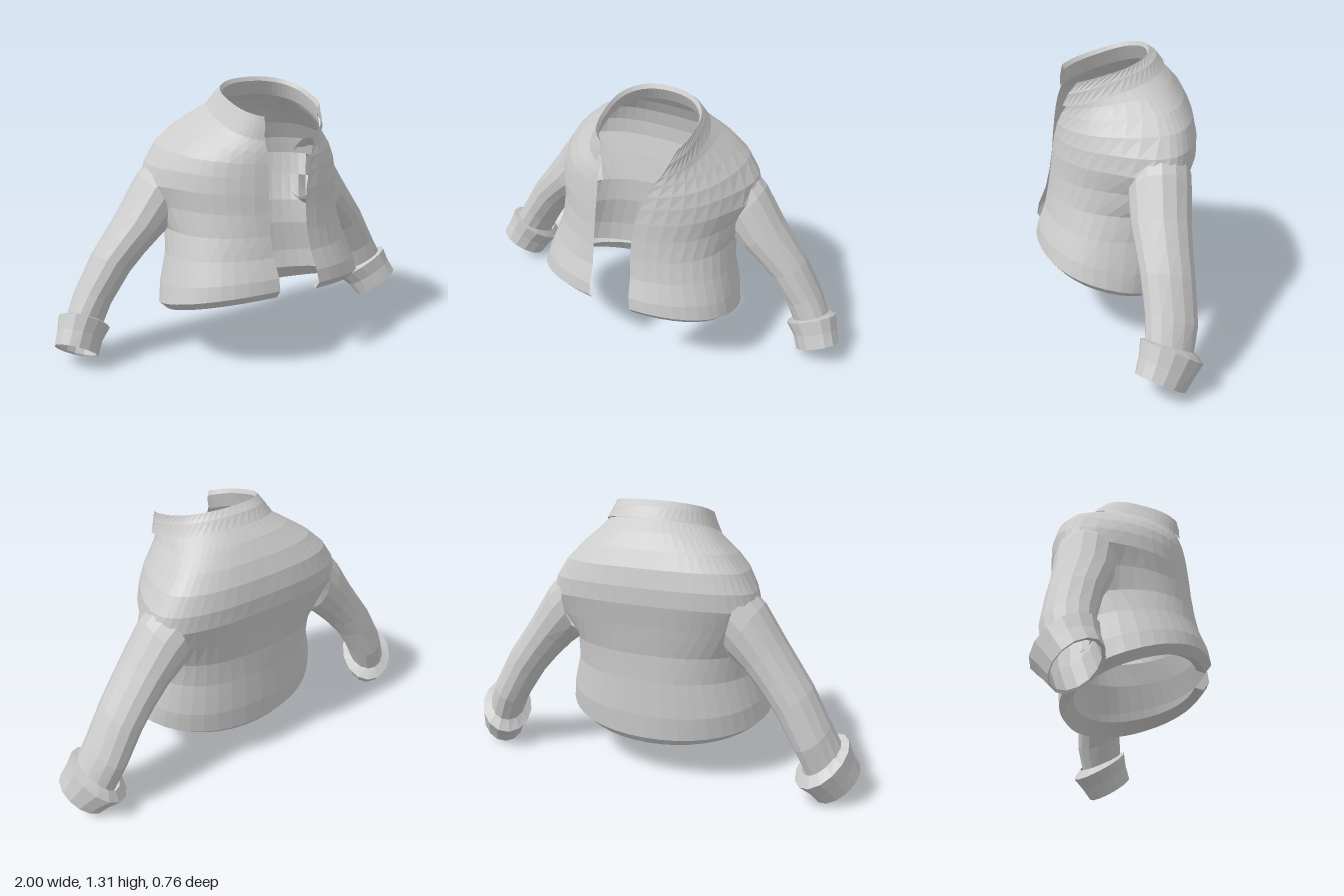
import * as THREE from 'three';

const cloth = new THREE.MeshStandardMaterial({ color: 0xcccccc, flatShading: true, side: THREE.DoubleSide });

// Skin a list of rings, each holding the same number of points; faces inside a hole are left out
function loft(name, rings, inHole = () => false) {
  const n = rings[0].length, points = rings.flat(), index = [];
  for (let i = 0; i < rings.length - 1; i++) {
    for (let j = 0; j < n - 1; j++) {
      const a = i * n + j, b = a + 1, d = a + n, c = d + 1;
      if ([a, b, c, d].every((k) => inHole(points[k]))) continue;
      index.push(a, b, c, a, c, d);
    }
  }
  const geo = new THREE.BufferGeometry().setFromPoints(points);
  geo.setIndex(index);
  geo.computeVertexNormals();
  const mesh = new THREE.Mesh(geo, cloth);
  mesh.name = name;
  return mesh;
}

// Open oval running from the left front edge, round the back, to the right front edge;
// pF and pB square off the front and back halves
function bodyRing([cx, w, zc, zf, zb, yF, yB, xR, xL, pF = 0.88, pB = 0.88], n = 40) {
  const bulge = (v, p) => Math.sign(v) * Math.abs(v) ** p;
  const angleAt = (x) => Math.asin(bulge((x - cx) / w, 1 / pF));
  const start = angleAt(xL), end = Math.PI * 2 + angleAt(xR);
  return Array.from({ length: n + 1 }, (_, j) => {
    const t = start + (end - start) * j / n;
    const p = Math.cos(t) > 0 ? pF : pB;
    const c = bulge(Math.cos(t), p);
    const z = zc + c * (c > 0 ? zf - zc : zc - zb);
    return new THREE.Vector3(cx + w * bulge(Math.sin(t), p), yB + (yF - yB) * (z - zb) / (zf - zb), z);
  });
}

// Draw the cloth round each armhole out towards the sleeve
function pullShoulder(v) {
  const d2 = (Math.abs(v.x) - 0.46) ** 2 + (v.y - 0.85) ** 2 + (v.z + 0.19) ** 2;
  const pull = 0.05 * Math.exp(-d2 / 0.022);
  v.x += Math.sign(v.x) * pull;
  v.y -= 0.3 * pull;
  return v;
}

const inArmhole = (v) => Math.abs(v.x) > 0.37
  && ((v.y - 0.775) / 0.15) ** 2 + ((v.z + 0.185) / 0.125) ** 2 < 1;

// Closed oval: centre, two radii, lean of the upper side, forward tilt (degrees)
function armRing([x, y, z, ru, rv, lean, tilt], side, n = 14) {
  const a = THREE.MathUtils.degToRad(lean), b = THREE.MathUtils.degToRad(tilt);
  return Array.from({ length: n + 1 }, (_, j) => {
    const t = j / n * Math.PI * 2;
    const u = ru * Math.cos(t), v = -side * rv * Math.sin(t);
    return new THREE.Vector3(
      side * (x + u * Math.cos(a)),
      y + u * Math.sin(a) - v * Math.sin(b),
      z - v * Math.cos(b));
  });
}

export function createModel() {
  const jacket = new THREE.Group();
  jacket.name = 'jacket';

  // Body: centre x, half width, z of widest point, front z, back z, front y, back y, right edge x, left edge x
  const body = [
    [0, 0.41, 0.03, 0.315, -0.27, 0.385, 0.26, -0.10, 0.12, 0.88, 0.95],
    [0, 0.485, 0.03, 0.355, -0.31, 0.37, 0.18, -0.10, 0.12, 0.88, 1],
    [0, 0.52, 0.03, 0.385, -0.335, 0.41, 0.215, -0.10, 0.12, 0.88, 0.95],
    [0, 0.50, 0.02, 0.375, -0.34, 0.47, 0.33, -0.10, 0.11],
    [0, 0.46, 0, 0.338, -0.335, 0.56, 0.5, -0.105, 0.10],
    [0, 0.435, -0.05, 0.318, -0.335, 0.66, 0.63, -0.11, 0.09, 0.88, 0.8],
    [0, 0.445, -0.12, 0.305, -0.36, 0.76, 0.77, -0.11, 0.09, 0.9, 0.72],
    [0, 0.47, -0.16, 0.297, -0.383, 0.85, 0.88, -0.105, 0.10, 0.92, 0.68],
    [0, 0.46, -0.175, 0.288, -0.383, 0.93, 0.96, -0.10, 0.12, 0.92, 0.68],
    [0, 0.425, -0.17, 0.28, -0.365, 0.99, 1.045, -0.10, 0.14, 0.9, 0.7],
    [0.005, 0.365, -0.14, 0.272, -0.325, 1.04, 1.12, -0.10, 0.165, 0.88, 0.73],
    [0.02, 0.295, -0.08, 0.263, -0.27, 1.08, 1.19, -0.10, 0.195, 0.82, 0.8],
    [0.035, 0.25, -0.01, 0.255, -0.215, 1.11, 1.24, -0.10, 0.215, 0.75, 0.85],
  ];
  jacket.add(loft('body', body.map((r) => bodyRing(r).map(pullShoulder)), inArmhole));

  // Collar: folded band, outer face then inner face
  const collar = [
    [0.035, 0.265, 0, 0.27, -0.235, 1.085, 1.25, -0.11, 0.205, 0.75],
    [0.04, 0.24, 0.02, 0.268, -0.2, 1.14, 1.295, -0.10, 0.23, 0.72],
    [0.045, 0.225, 0.03, 0.262, -0.165, 1.19, 1.32, -0.10, 0.25, 0.7],
    [0.045, 0.215, 0.03, 0.25, -0.155, 1.17, 1.3, -0.09, 0.24, 0.7],
    [0.04, 0.235, 0.01, 0.25, -0.19, 1.1, 1.23, -0.10, 0.215, 0.75],
  ];
  jacket.add(loft('collar', collar.map((r) => bodyRing(r))));

  // Sleeves, from the armhole down to the wrist
  const sleeve = [
    [0.41, 0.815, -0.19, 0.16, 0.142, 76, 0],
    [0.455, 0.77, -0.188, 0.145, 0.142, 58, 0],
    [0.545, 0.66, -0.187, 0.115, 0.135, 38, 0],
    [0.62, 0.57, -0.195, 0.105, 0.127, 36, 4],
    [0.69, 0.48, -0.205, 0.1, 0.122, 35, 8],
    [0.785, 0.32, -0.215, 0.093, 0.12, 32, 15],
    [0.85, 0.19, -0.2, 0.093, 0.112, 30, 25],
  ];
  // Turned-back cuffs, flared at the upper rim
  const cuff = [
    [0.825, 0.22, -0.215, 0.09, 0.115, 30, 22],
    [0.835, 0.2, -0.215, 0.135, 0.155, 30, 27],
    [0.87, 0.145, -0.19, 0.118, 0.135, 30, 27],
    [0.9, 0.085, -0.16, 0.115, 0.122, 30, 27],
    [0.895, 0.09, -0.165, 0.103, 0.11, 30, 27],
    [0.85, 0.19, -0.2, 0.092, 0.11, 30, 25],
  ];
  for (const [side, label] of [[1, 'left'], [-1, 'right']]) {
    jacket.add(loft(label + 'Sleeve', sleeve.map((r) => armRing(r, side))));
    jacket.add(loft(label + 'Cuff', cuff.map((r) => armRing(r, side))));
  }
  return jacket;
}
